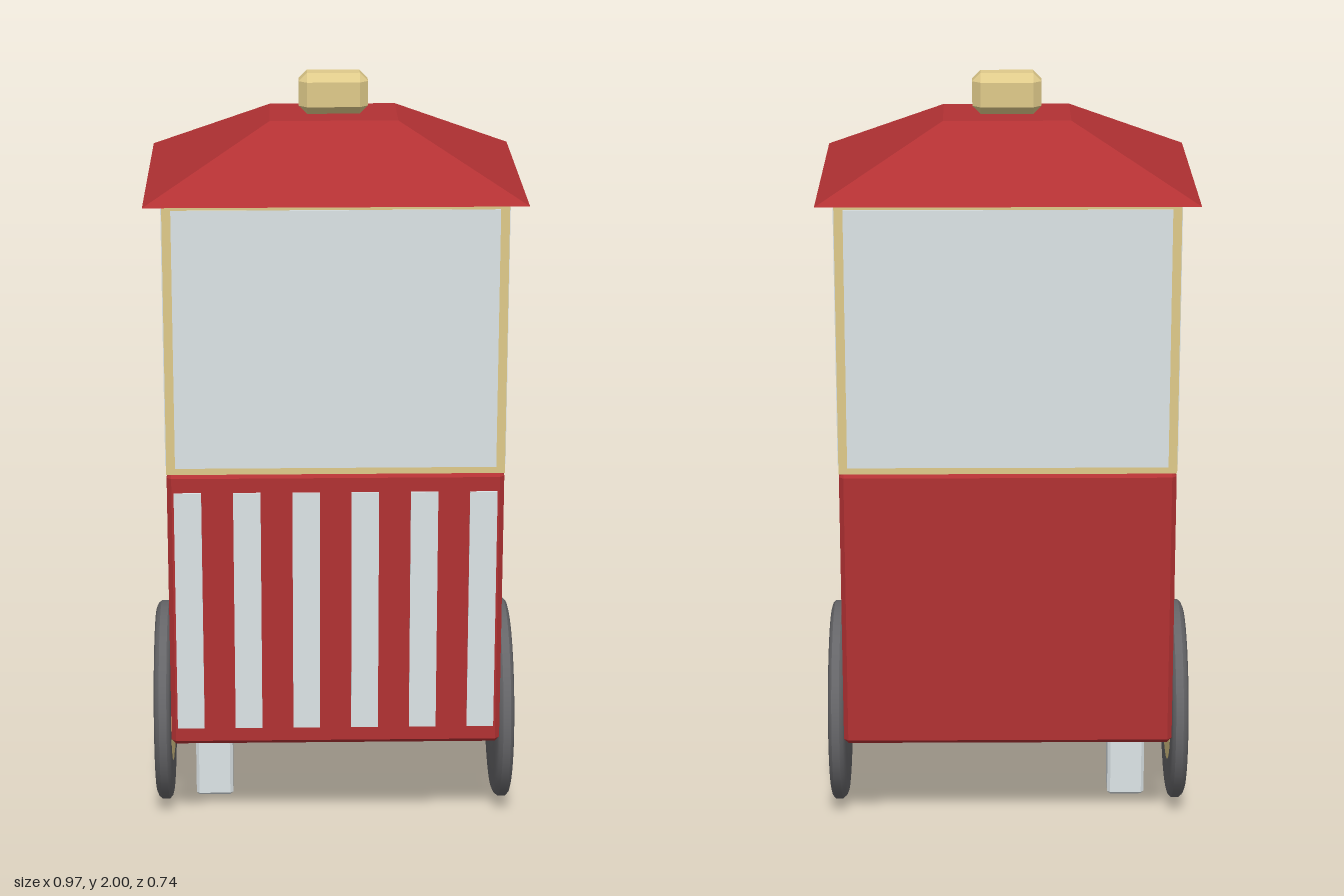
import * as THREE from 'three';
import { toCreasedNormals } from 'three/addons/utils/BufferGeometryUtils.js';
import { ConvexGeometry } from 'three/addons/geometries/ConvexGeometry.js';

const SIGNS = [-1, 1];

// Box with chamfered edges, centred on its origin
function chamferBox(w, h, d, c) {
  const points = [];
  const [x, y, z] = [w / 2, h / 2, d / 2];
  for (const i of SIGNS) for (const j of SIGNS) for (const k of SIGNS) {
    points.push(
      new THREE.Vector3(i * x, j * (y - c), k * (z - c)),
      new THREE.Vector3(i * (x - c), j * y, k * (z - c)),
      new THREE.Vector3(i * (x - c), j * (y - c), k * z),
    );
  }
  return new ConvexGeometry(points);
}

// Flat-topped hip roof between two rectangles given as half sizes
function hipRoof(baseX, baseZ, topX, topZ, height) {
  const points = [];
  for (const i of SIGNS) for (const k of SIGNS) {
    points.push(new THREE.Vector3(i * baseX, 0, k * baseZ), new THREE.Vector3(i * topX, height, k * topZ));
  }
  return new ConvexGeometry(points);
}

// Turned part: [radius, offset] pairs from back to front, axis along x
function turned(profile) {
  const lathe = new THREE.LatheGeometry(profile.map(([r, o]) => new THREE.Vector2(r, o)), 40);
  lathe.rotateZ(-Math.PI / 2);
  return toCreasedNormals(lathe, 0.5);
}

export function createModel() {
  const material = (name, color) => new THREE.MeshStandardMaterial({ name, color });
  const red = material('red paint', 0xb23133);
  const gold = material('gold', 0xdfca8a);
  const white = material('pale white', 0xdce4e7);
  const rubber = material('dark grey rubber', 0x656568);

  const model = new THREE.Group();
  model.name = 'popcornCart';
  const add = (name, geometry, mat, x = 0, y = 0, z = 0, parent = model) => {
    const mesh = new THREE.Mesh(geometry, mat);
    mesh.name = name;
    mesh.position.set(x, y, z);
    parent.add(mesh);
    return mesh;
  };

  // Lower cabinet with painted front stripes
  add('cabinet', chamferBox(0.86, 0.75, 0.644, 0.012), red, 0, 0.655, 0);
  const stripe = new THREE.BoxGeometry(0.07, 0.65, 0.008);
  for (let i = 0; i < 6; i++) add('stripe', stripe, white, (i - 2.5) * 0.151, 0.655, 0.323);

  // Display case: gold frame with a pane on each side
  add('caseFrame', new THREE.BoxGeometry(0.86, 0.705, 0.65), gold, 0, 1.3825, 0);
  const widePane = new THREE.BoxGeometry(0.815, 0.67, 0.006);
  const sidePane = new THREE.BoxGeometry(0.006, 0.67, 0.61);
  for (const s of SIGNS) {
    add(s > 0 ? 'frontPane' : 'backPane', widePane, white, 0, 1.3825, s * 0.325);
    add(s > 0 ? 'leftPane' : 'rightPane', sidePane, white, s * 0.43, 1.3825, 0);
  }

  // Roof and its finial
  add('roof', hipRoof(0.475, 0.37, 0.162, 0.108, 0.16), red, 0, 1.735, 0);
  add('finial', chamferBox(0.176, 0.105, 0.086, 0.021), gold, 0, 1.9475, 0);

  // Supporting leg
  add('leg', chamferBox(0.1, 0.275, 0.1, 0.008), white, -0.325, 0.1425, 0);

  // Wheels, both facing the same way
  const tyre = turned([[0, -0.018], [0.1, -0.02], [0.25, -0.024], [0.262, -0.019], [0.27, -0.01],
    [0.27, 0.01], [0.262, 0.017], [0.25, 0.02], [0.16, 0.018], [0, 0.012]]);
  const hub = turned([[0.166, 0.012], [0.166, 0.019], [0.07, 0.03], [0.05, 0.014], [0.05, 0.011]]);
  const backHub = turned([[0.07, -0.016], [0.073, -0.031], [0.115, -0.02]]);
  for (const s of SIGNS) {
    const wheel = new THREE.Group();
    wheel.name = s > 0 ? 'leftWheel' : 'rightWheel';
    wheel.position.set(s * 0.455, 0.272, 0);
    add('tyre', tyre, rubber, 0, 0, 0, wheel);
    add('hub', hub, gold, 0, 0, 0, wheel);
    add('axleCap', turned([[0.05, 0.012], [0.045, 0.018], [0, 0.02]]), rubber, 0, 0, 0, wheel);
    add('backHub', backHub, gold, 0, 0, 0, wheel);
    model.add(wheel);
  }

  return model;
}
